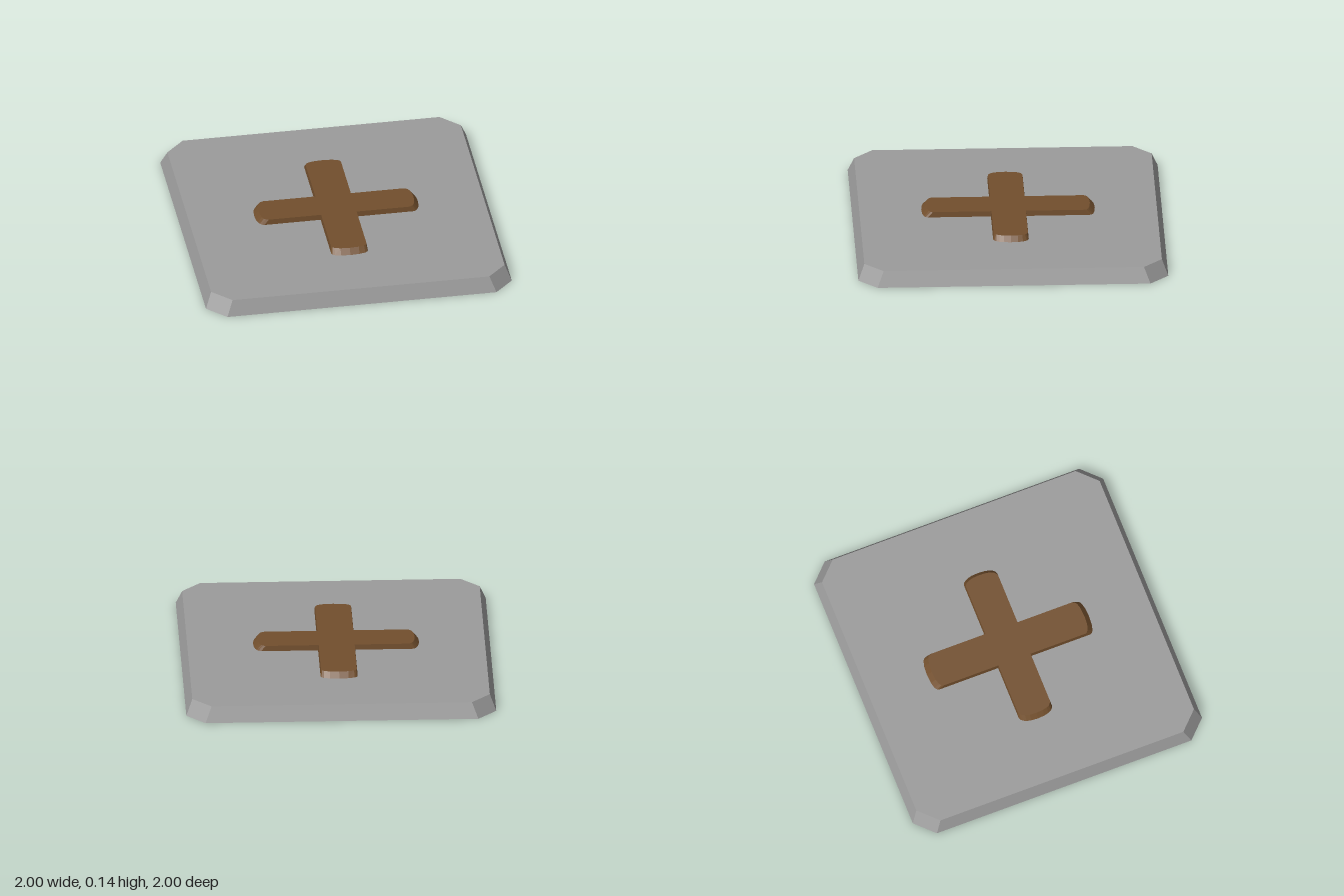
import * as THREE from 'three';

// Mirror a first-quadrant outline [x, z] (from +x round to +z) into a full ring
function mirrorRing(quarter) {
  const ring = [];
  const back = quarter.slice().reverse();
  const add = (pts, sx, sz) => pts.forEach(([x, z]) => {
    const p = new THREE.Vector2(x * sx, z * sz);
    if (!ring.some(q => q.distanceTo(p) < 1e-5)) ring.push(p);
  });
  add(quarter, 1, 1);
  add(back, -1, 1);
  add(quarter, -1, -1);
  add(back, 1, -1);
  return ring;
}

// Solid between a bottom ring and a top ring with matching points
function frustum(bottom, top, y0, y1) {
  const pos = [];
  const put = (p, y) => pos.push(p.x, y, p.y);
  const n = bottom.length;
  for (let i = 0; i < n; i++) {
    const j = (i + 1) % n;
    put(bottom[i], y0); put(top[i], y1); put(bottom[j], y0);
    put(top[i], y1); put(top[j], y1); put(bottom[j], y0);
  }
  const cap = (ring, y, up) => {
    for (const [a, b, c] of THREE.ShapeUtils.triangulateShape(ring, [])) {
      const [p, q, r] = [ring[a], ring[b], ring[c]];
      const facesUp = q.clone().sub(p).cross(r.clone().sub(p)) < 0;
      (facesUp === up ? [p, q, r] : [p, r, q]).forEach(v => put(v, y));
    }
  };
  cap(top, y1, true);
  cap(bottom, y0, false);
  const geo = new THREE.BufferGeometry();
  geo.setAttribute('position', new THREE.Float32BufferAttribute(pos, 3));
  geo.computeVertexNormals();
  return geo;
}

export function createModel() {
  const model = new THREE.Group();
  const addPart = (name, geo, color) => {
    const mesh = new THREE.Mesh(geo, new THREE.MeshStandardMaterial({ color }));
    mesh.name = name;
    model.add(mesh);
  };

  // Square slab with clipped corners and sloping sides
  const slabRing = (half, corner) => mirrorRing([[half, corner], [corner, half]]);
  addPart('slab', frustum(slabRing(1, 0.88), slabRing(0.96, 0.84), 0, 0.1), 0x9b9b9b);

  // Raised cross with rounded, bevelled arm ends
  const crossRing = (lx, lz, inset) => {
    const wx = 0.12 - inset, wz = 0.115 - inset;
    return mirrorRing([
      [lx, 0], [lx - 0.003, 0.045], [lx - 0.01, 0.075], [lx - 0.02, 0.095],
      [lx - 0.031, wz - 0.007], [lx - 0.048, wz],
      [wx, wz],
      [wx, lz - 0.038], [wx - 0.006, lz - 0.025], [wx - 0.02, lz - 0.014], [0.06, lz - 0.004], [0, lz],
    ]);
  };
  addPart('cross', frustum(crossRing(0.535, 0.56, 0), crossRing(0.507, 0.528, 0.004), 0.1, 0.135), 0x724f2d);

  return model;
}
